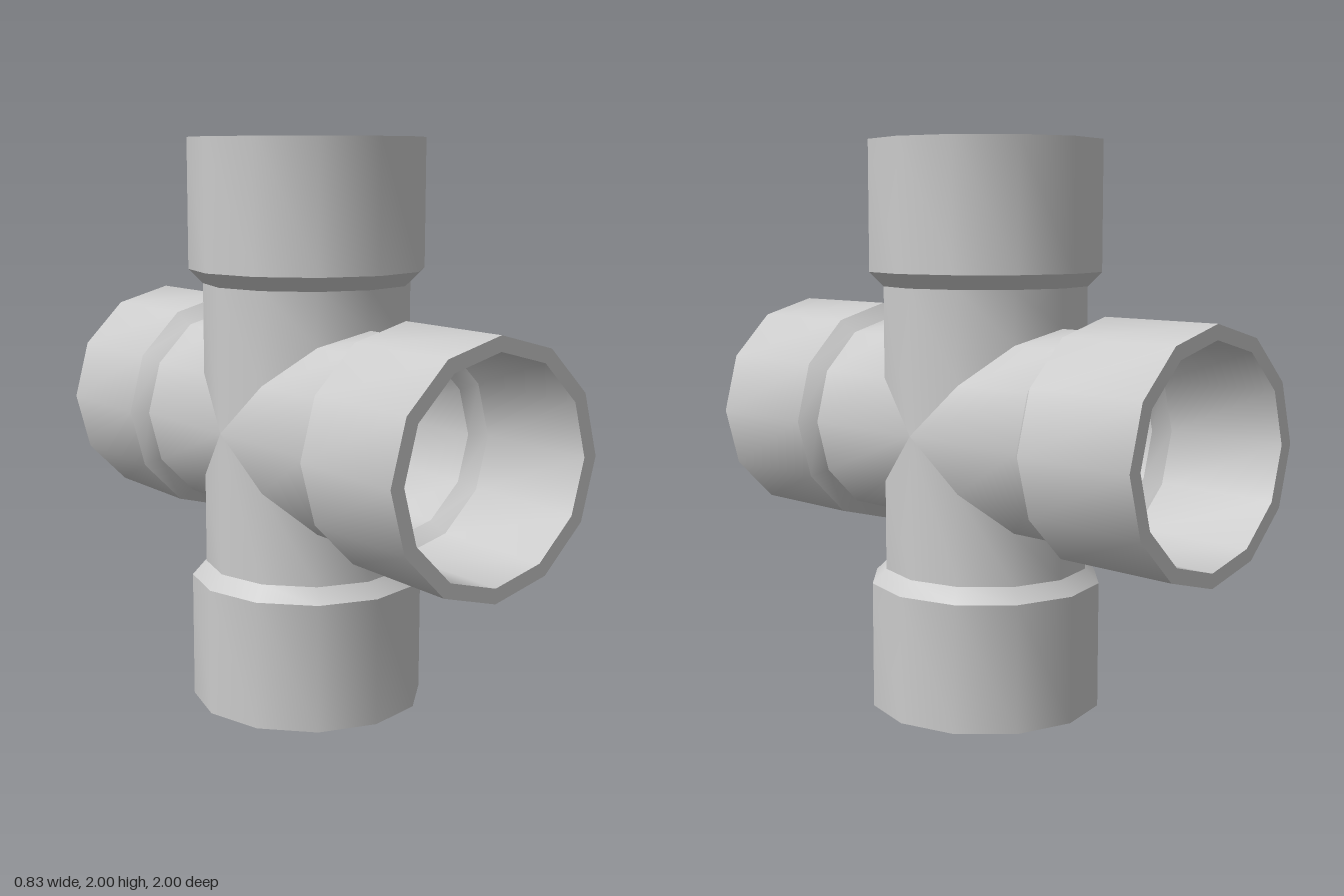
import * as THREE from 'three';
import { mergeGeometries } from 'three/addons/utils/BufferGeometryUtils.js';

const SIDES = 12;
const MITRE = null; // ring cut along the 45 degree planes where the arms meet

// Ring of points around the y axis; a mitre ring follows |z|
function ring([r, t]) {
  const pts = [];
  for (let i = 0; i < SIDES; i++) {
    const a = (i / SIDES) * Math.PI * 2;
    const x = r * Math.sin(a), z = r * Math.cos(a);
    pts.push(x, t === MITRE ? Math.abs(z) : t, z);
  }
  return pts;
}

// Strip between two rings, smooth around the axis, sharp at its rims
function band(from, to) {
  const g = new THREE.BufferGeometry();
  g.setAttribute('position', new THREE.Float32BufferAttribute([...ring(from), ...ring(to)], 3));
  const index = [];
  for (let i = 0; i < SIDES; i++) {
    const j = (i + 1) % SIDES;
    index.push(i, j, i + SIDES, j, j + SIDES, i + SIDES);
  }
  g.setIndex(index);
  g.computeVertexNormals();
  return g;
}

// Wall section of one arm: up the outside, over the rim, down the bore
function armGeometry() {
  const profile = [
    [0.365, MITRE], [0.365, 0.5], [0.415, 0.55], [0.415, 1],
    [0.365, 1], [0.365, 0.55], [0.32, 0.5], [0.32, MITRE],
  ];
  return mergeGeometries(profile.slice(1).map((p, i) => band(profile[i], p)));
}

export function createModel() {
  const model = new THREE.Group();
  model.name = 'crossPipeFitting';
  const material = new THREE.MeshStandardMaterial({ color: 0xcccccc });
  const geometry = armGeometry();

  // Four identical socket arms turned around the x axis
  ['topArm', 'frontArm', 'bottomArm', 'backArm'].forEach((name, i) => {
    const arm = new THREE.Mesh(geometry, material);
    arm.name = name;
    arm.position.y = 1;
    arm.rotation.x = (i * Math.PI) / 2;
    model.add(arm);
  });
  return model;
}
